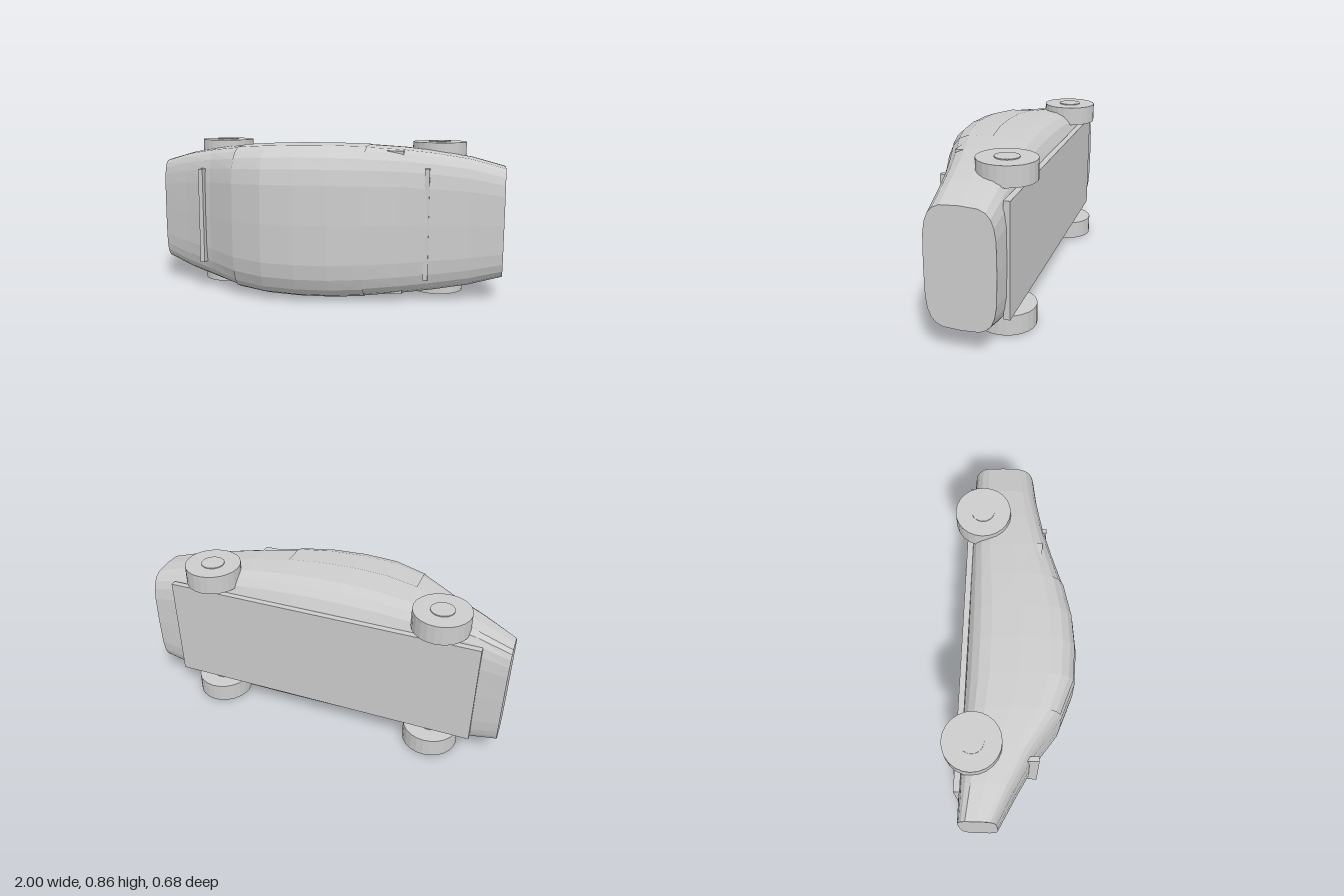
import * as THREE from 'three';

const MID = 0.43; // centre plane of the car, which lies on its side (roof faces +z)
const FLOOR = -0.262;
const SIDES = 24;

// hull stations: [x, roof height z, half width]
const stations = [
  [-1, -0.06, 0.3], [-0.82, 0.03, 0.35], [-0.636, 0.13, 0.381], [-0.455, 0.26, 0.402],
  [-0.273, 0.328, 0.414], [-0.09, 0.335, 0.42], [0.09, 0.317, 0.42], [0.273, 0.27, 0.414],
  [0.455, 0.205, 0.402], [0.636, 0.15, 0.381], [0.82, 0.11, 0.35], [1, 0.085, 0.3],
];

const soften = (v) => Math.sign(v) * Math.sqrt(Math.abs(v));

// point on the squarish cross-section of one station
function hullPoint([x, top, half], step, grow) {
  const a = (step / SIDES) * Math.PI * 2;
  const h = (top - FLOOR) / 2;
  return [x, MID + (half + grow) * soften(Math.sin(a)), FLOOR + h + (h + grow) * soften(Math.cos(a))];
}

// skin over a run of stations and section steps, optionally closed at both ends
function skin(rows, from, to, grow, capped) {
  const pos = [];
  const tri = (...pts) => pts.forEach((p) => pos.push(...p));
  for (let j = from; j < to; j++) {
    for (let i = 0; i < rows.length - 1; i++) {
      const a = hullPoint(rows[i], j, grow);
      const b = hullPoint(rows[i + 1], j, grow);
      const c = hullPoint(rows[i], j + 1, grow);
      const d = hullPoint(rows[i + 1], j + 1, grow);
      tri(a, b, c);
      tri(b, d, c);
    }
    if (capped) {
      const first = rows[0];
      const last = rows[rows.length - 1];
      tri([first[0], MID, (first[1] + FLOOR) / 2], hullPoint(first, j, grow), hullPoint(first, j + 1, grow));
      tri([last[0], MID, (last[1] + FLOOR) / 2], hullPoint(last, j + 1, grow), hullPoint(last, j, grow));
    }
  }
  const geo = new THREE.BufferGeometry();
  geo.setAttribute('position', new THREE.Float32BufferAttribute(pos, 3));
  geo.computeVertexNormals();
  return geo;
}

export function createModel() {
  const model = new THREE.Group();
  model.name = 'carOnItsSide';
  const grey = new THREE.MeshStandardMaterial({ color: 0xcccccc, flatShading: true });
  grey.name = 'plain grey';

  const add = (name, geo, x = 0, y = 0, z = 0) => {
    const mesh = new THREE.Mesh(geo, grey);
    mesh.name = name;
    mesh.position.set(x, y, z);
    model.add(mesh);
  };
  // box given by its lower and upper limits on each axis
  const addBox = (name, [x0, x1], [y0, y1], [z0, z1]) =>
    add(name, new THREE.BoxGeometry(x1 - x0, y1 - y0, z1 - z0), (x0 + x1) / 2, (y0 + y1) / 2, (z0 + z1) / 2);

  // body and floor plate
  add('body', skin(stations, 0, SIDES, 0, true));
  addBox('floorPlate', [-0.86, 0.86], [0.138, 0.722], [-0.277, -0.245]);

  // cabin side panels, just proud of the body
  const cabin = stations.slice(3, 8);
  add('upperSidePanel', skin(cabin, 2, 6, 0.004, false));
  add('lowerSidePanel', skin(cabin, 18, 22, 0.004, false));

  // cross bars over the bonnet and the tail
  addBox('frontBar', [0.585, 0.61], [0.13, 0.73], [0.12, 0.16]);
  addBox('rearBar', [-0.695, -0.67], [0.16, 0.7], [0.08, 0.145]);

  // wheels, hubs and mirrors on both sides
  for (const side of [-1, 1]) {
    for (const x of [-0.635, 0.635]) {
      add('wheel', new THREE.CylinderGeometry(0.15, 0.15, 0.104, 24), x, MID + side * 0.373, -0.19);
      add('hub', new THREE.CylinderGeometry(0.062, 0.062, 0.114, 20), x, MID + side * 0.373, -0.19);
    }
    const mirrorY = MID + side * 0.37;
    addBox('mirror', [0.38, 0.47], [mirrorY - 0.02, mirrorY + 0.02], [0.09, 0.136]);
  }
  return model;
}
